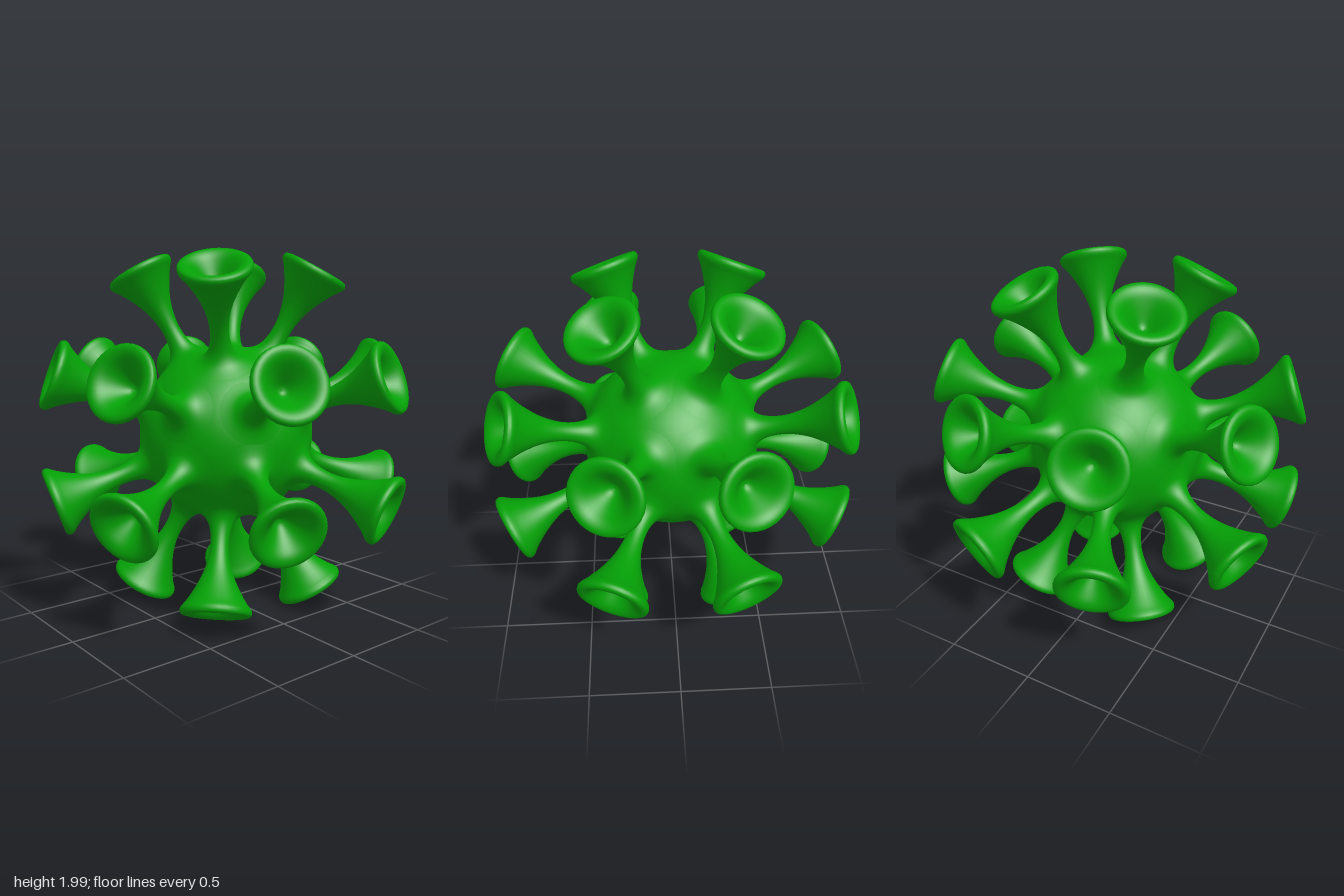
import * as THREE from 'three';

export function createModel() {
  const model = new THREE.Group();
  model.name = 'virus';
  const green = new THREE.MeshStandardMaterial({ color: 0x04a006 });

  // Round core
  const core = new THREE.Mesh(new THREE.SphereGeometry(0.49, 48, 32), green);
  core.name = 'core';
  core.position.y = 1;
  model.add(core);

  // Trumpet profile as [radius, distance from the core's centre]: foot, stem, flare, rounded lip, hollow
  const profile = [
    [0.17, 0.459], [0.13, 0.477], [0.098, 0.498], [0.071, 0.535], [0.055, 0.59], [0.05, 0.66],
    [0.058, 0.73], [0.08, 0.81], [0.122, 0.9], [0.162, 0.965], [0.191, 1.005],
    [0.186, 1.03], [0.16, 1.037], [0.125, 1.022], [0.09, 0.985], [0.055, 0.94], [0.025, 0.905], [0, 0.895],
  ];
  const curve = new THREE.CatmullRomCurve3(profile.map(([r, d]) => new THREE.Vector3(r, d, 0)));
  const points = curve.getPoints(51).map((p) => new THREE.Vector2(Math.max(0, p.x), p.y));
  const trumpet = new THREE.LatheGeometry(points, 32);

  // Four trumpets around each of the six axis directions
  const up = new THREE.Vector3(0, 1, 0);
  const side = 0.338, out = 0.878;
  for (let axis = 0; axis < 3; axis++) {
    for (let corner = 0; corner < 8; corner++) {
      const dir = [0, 1, 2].map((i) => ((corner >> i) & 1 ? 1 : -1) * (i === axis ? out : side));
      const spike = new THREE.Mesh(trumpet, green);
      spike.name = `spike${axis * 8 + corner + 1}`;
      spike.position.y = 1;
      spike.quaternion.setFromUnitVectors(up, new THREE.Vector3(...dir).normalize());
      model.add(spike);
    }
  }
  return model;
}
